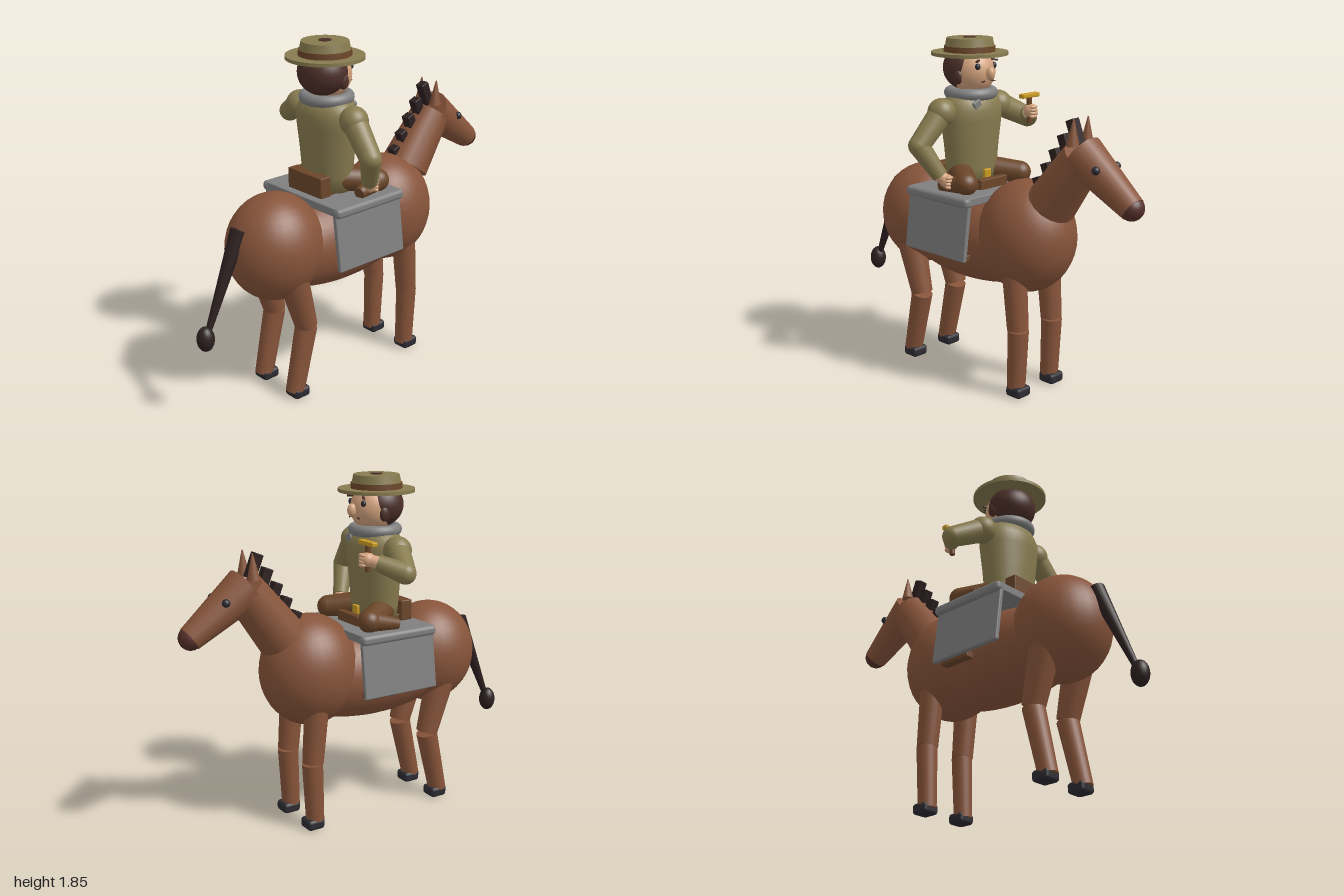
import * as THREE from 'three';
import { RoundedBoxGeometry } from 'three/addons/geometries/RoundedBoxGeometry.js';

const mat = (name, color) => Object.assign(new THREE.MeshStandardMaterial({ color }), { name });

export function createModel() {
  const coat = mat('horse coat', 0x87543a);
  const mane = mat('mane', 0x2d2020);
  const muzzleBrown = mat('muzzle', 0x55302a);
  const grey = mat('saddle grey', 0x7f7f80);
  const olive = mat('jacket olive', 0x877b4f);
  const leather = mat('leather', 0x6b4629);
  const hair = mat('hair', 0x4c2f29);
  const skin = mat('skin', 0xd3a27d);
  const black = mat('hoof black', 0x2b2b32);
  const gold = mat('gold', 0xc99a22);

  const model = new THREE.Group();
  const horse = new THREE.Group();
  const rider = new THREE.Group();
  horse.name = 'horse';
  rider.name = 'rider';
  model.add(horse, rider);

  // Helpers: place a mesh, an ellipsoid, a box, and a tapered rod between two points
  const put = (parent, name, geo, material, p = [0, 0, 0], rot = [0, 0, 0]) => {
    const m = new THREE.Mesh(geo, material);
    m.name = name;
    m.position.set(...p);
    m.rotation.set(...rot);
    parent.add(m);
    return m;
  };
  const ball = (parent, name, material, p, r) => {
    const m = put(parent, name, new THREE.SphereGeometry(1, 32, 20), material, p);
    m.scale.set(...r);
    return m;
  };
  const box = (parent, name, material, p, s, rot, bevel = 0.006) =>
    put(parent, name, new RoundedBoxGeometry(...s, 2, bevel), material, p, rot);
  const rod = (parent, name, material, a, b, ra, rb, sides = 24) => {
    const A = new THREE.Vector3(...a), B = new THREE.Vector3(...b);
    const d = B.clone().sub(A);
    const m = put(parent, name, new THREE.CylinderGeometry(rb, ra, d.length(), sides), material);
    m.position.copy(A).add(B).multiplyScalar(0.5);
    m.quaternion.setFromUnitVectors(new THREE.Vector3(0, 1, 0), d.normalize());
    return m;
  };

  // Horse body
  ball(horse, 'hindquarters', coat, [-0.5, 0.835, 0], [0.265, 0.285, 0.247]);
  ball(horse, 'chest', coat, [0.275, 0.85, 0], [0.272, 0.3, 0.25]);
  ball(horse, 'belly', coat, [-0.1, 0.79, 0], [0.56, 0.25, 0.235]);

  // Neck, head and face
  rod(horse, 'neck', coat, [0.44, 1.05, 0], [0.645, 1.32, 0], 0.133, 0.108, 16);
  rod(horse, 'horseHead', coat, [0.635, 1.335, 0], [0.95, 1.113, 0], 0.112, 0.066, 16);
  ball(horse, 'muzzle', muzzleBrown, [0.945, 1.117, 0], [0.062, 0.062, 0.064]);
  for (const s of [1, -1]) {
    ball(horse, 'horseEye', black, [0.785, 1.287, s * 0.08], [0.021, 0.021, 0.021]);
    rod(horse, 'horseEar', coat, [0.618, 1.38, s * 0.055], [0.622, 1.515, s * 0.055], 0.034, 0.003, 12);
  }
  for (let i = 0; i < 5; i++) {
    const h = 0.09 + i * 0.01;
    box(horse, 'maneTuft', mane, [0.365 + i * 0.056, 1.135 + i * 0.076, 0], [0.05, h, 0.052], [0, 0, 0.38], 0.004);
  }

  // Tail
  rod(horse, 'tail', mane, [-0.725, 0.985, 0], [-0.935, 0.5, 0], 0.044, 0.016, 16);
  ball(horse, 'tailTuft', mane, [-0.955, 0.46, 0], [0.046, 0.067, 0.046]);

  // Legs and hooves
  for (const s of [1, -1]) {
    const z = s * 0.132;
    rod(horse, 'rearUpperLeg', coat, [-0.5, 0.72, z], [-0.41, 0.4, z], 0.082, 0.06);
    rod(horse, 'rearLowerLeg', coat, [-0.41, 0.395, z], [-0.493, 0.035, z], 0.059, 0.05);
    rod(horse, 'frontUpperLeg', coat, [0.305, 0.72, z], [0.335, 0.375, z], 0.066, 0.057);
    rod(horse, 'frontLowerLeg', coat, [0.338, 0.37, z], [0.325, 0.035, z], 0.056, 0.049);
    box(horse, 'rearHoof', black, [-0.475, 0.032, z], [0.1, 0.058, 0.1], [0, 0, 0], 0.018);
    box(horse, 'frontHoof', black, [0.34, 0.032, z], [0.1, 0.058, 0.1], [0, 0, 0], 0.018);
  }

  // Saddle: flat top, rolled edges, splayed flaps, stirrups
  box(model, 'saddleTop', grey, [-0.103, 1.045, 0], [0.455, 0.044, 0.58]);
  for (const s of [1, -1]) {
    box(model, 'saddleEdge', grey, [-0.103, 1.042, s * 0.28], [0.465, 0.052, 0.052], [0, 0, 0], 0.02);
    box(model, 'saddleFlap', grey, [-0.105, 0.885, s * 0.286], [0.452, 0.31, 0.025], [-s * 0.13, 0, 0]);
    box(model, 'stirrup', leather, [-0.005, 0.735, s * 0.26], [0.19, 0.035, 0.05]);
  }
  box(model, 'saddleCantle', leather, [-0.262, 1.125, 0], [0.07, 0.11, 0.26]);
  box(model, 'saddleSeat', leather, [-0.12, 1.08, 0], [0.27, 0.045, 0.22]);
  box(model, 'saddlePommel', leather, [0.015, 1.09, 0], [0.04, 0.06, 0.2]);

  // Rider torso
  const profile = [[0.001, 1.07], [0.145, 1.075], [0.157, 1.16], [0.168, 1.28], [0.186, 1.42],
    [0.188, 1.48], [0.165, 1.53], [0.1, 1.57], [0.001, 1.575]].map(p => new THREE.Vector2(...p));
  const torso = put(rider, 'torso', new THREE.LatheGeometry(profile, 36), olive, [-0.138, 0, 0]);
  torso.scale.x = 0.72;
  box(rider, 'beltBuckle', gold, [-0.02, 1.135, 0], [0.02, 0.05, 0.05]);

  // Scarf
  put(rider, 'scarf', new THREE.TorusGeometry(0.113, 0.031, 16, 40), grey, [-0.14, 1.56, 0], [Math.PI / 2, 0, 0]);
  box(rider, 'scarfEnd', grey, [-0.025, 1.515, 0.07], [0.02, 0.04, 0.05], [0.5, 0, 0]);

  // Head and face
  ball(rider, 'head', skin, [-0.125, 1.675, 0], [0.122, 0.125, 0.118]);
  ball(rider, 'hair', hair, [-0.165, 1.69, 0], [0.128, 0.12, 0.135]);
  ball(rider, 'nose', skin, [0.005, 1.67, 0], [0.026, 0.035, 0.023]);
  for (const s of [1, -1]) {
    ball(rider, 'sideburn', hair, [-0.125, 1.655, s * 0.112], [0.03, 0.042, 0.022]);
    ball(rider, 'eye', black, [-0.028, 1.708, s * 0.06], [0.014, 0.017, 0.015]);
    box(rider, 'eyebrow', hair, [-0.028, 1.738, s * 0.06], [0.014, 0.01, 0.045], [s * 0.1, s * 0.5, 0], 0.003);
    box(rider, 'mouth', hair, [-0.016, 1.632, s * 0.025], [0.009, 0.007, 0.05], [s * 0.15, s * 0.3, 0], 0.002);
  }

  // Hat
  const hx = -0.148;
  put(rider, 'hatBrim', new THREE.CylinderGeometry(0.204, 0.204, 0.018, 48), olive, [hx, 1.768, 0]);
  put(rider, 'hatBand', new THREE.CylinderGeometry(0.136, 0.138, 0.034, 48), leather, [hx, 1.79, 0]);
  put(rider, 'hatCrown', new THREE.CylinderGeometry(0.122, 0.132, 0.048, 48), olive, [hx, 1.825, 0]);
  put(rider, 'hatButton', new THREE.CylinderGeometry(0.032, 0.032, 0.006, 24), hair, [hx, 1.85, 0]);

  // Arms: shoulder, elbow, wrist, hand with fingers
  const arm = (side, shoulder, elbow, wrist, hand) => {
    const g = new THREE.Group();
    g.name = side + 'Arm';
    rider.add(g);
    ball(g, 'shoulder', olive, shoulder, [0.075, 0.075, 0.075]);
    rod(g, 'upperArm', olive, shoulder, elbow, 0.066, 0.056);
    ball(g, 'elbow', olive, elbow, [0.056, 0.056, 0.056]);
    rod(g, 'forearm', olive, elbow, wrist, 0.056, 0.042);
    rod(g, 'wrist', skin, wrist, hand, 0.034, 0.03);
    ball(g, 'hand', skin, hand, [0.038, 0.038, 0.036]);
    for (let i = 0; i < 4; i++)
      ball(g, 'finger', skin, [hand[0] + 0.028, hand[1] + 0.024 - i * 0.017, hand[2] + 0.008], [0.016, 0.011, 0.025]);
  };
  arm('right', [-0.145, 1.475, 0.21], [-0.165, 1.315, 0.355], [-0.095, 1.155, 0.275], [-0.07, 1.125, 0.25]);
  arm('left', [-0.14, 1.475, -0.21], [-0.075, 1.39, -0.375], [0.03, 1.44, -0.28], [0.068, 1.455, -0.245]);

  // Cane held in the left hand
  rod(rider, 'caneShaft', leather, [0.063, 1.39, -0.24], [0.063, 1.53, -0.24], 0.015, 0.015, 16);
  box(rider, 'caneHandle', gold, [0.063, 1.538, -0.24], [0.036, 0.024, 0.132]);

  // Legs astride the saddle
  for (const s of [1, -1]) {
    const knee = [0.03, 1.118, s * 0.205];
    rod(rider, 'thigh', leather, [-0.14, 1.14, s * 0.085], knee, 0.068, 0.06);
    ball(rider, 'knee', leather, knee, [0.06, 0.06, 0.06]);
    rod(rider, 'shin', leather, knee, [-0.13, 1.09, s * 0.235], 0.056, 0.03);
  }
  return model;
}
